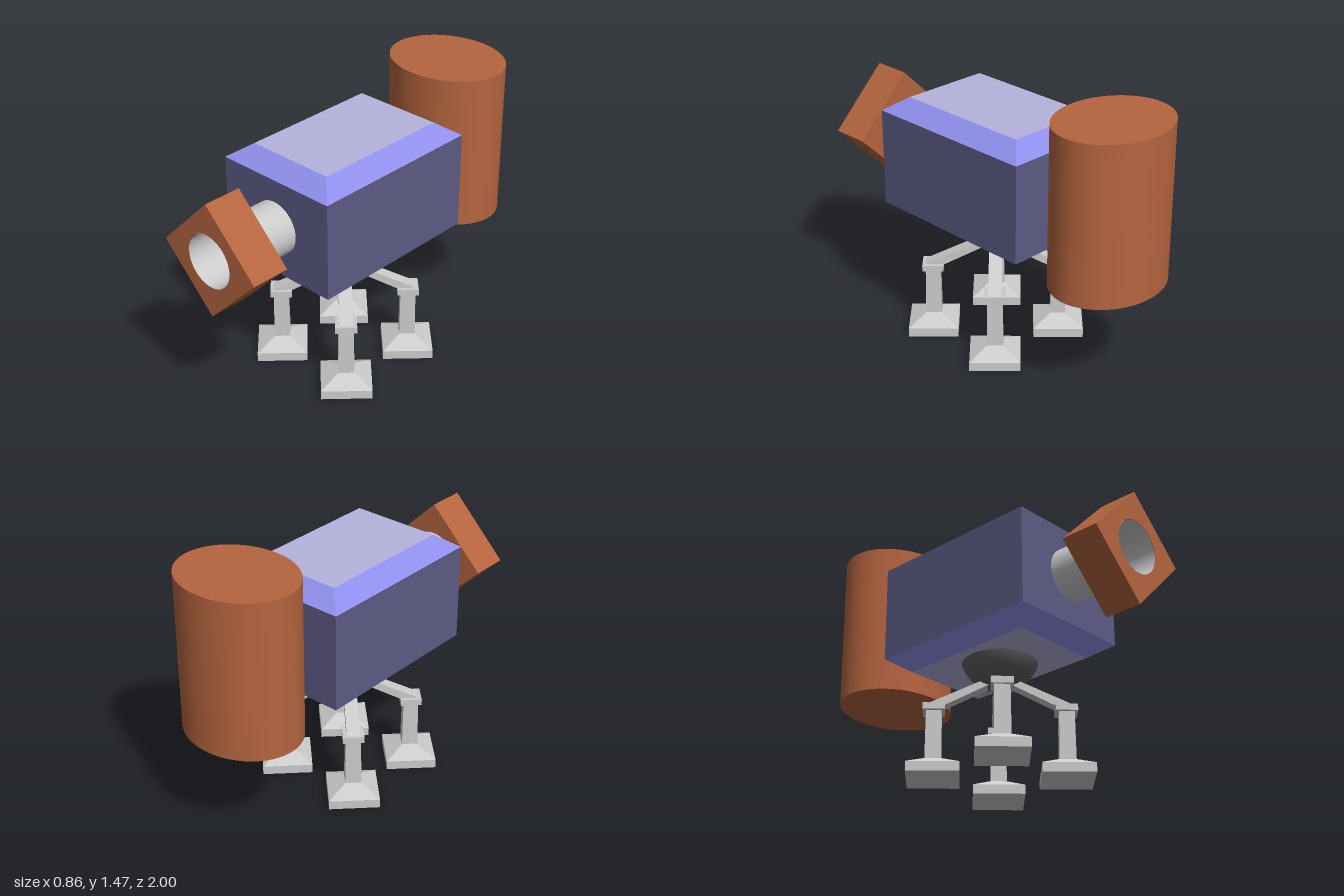
import * as THREE from 'three';

const mat = (color, side = THREE.FrontSide) => new THREE.MeshStandardMaterial({ color, side });

// Hard-edged rectangular solid through levels of [y, half width, half depth], with optional end caps.
function stackedBox(levels, bottomCap = true, topCap = true) {
  const pos = [];
  const ring = ([y, w, d]) => [[-w, y, d], [w, y, d], [w, y, -d], [-w, y, -d]];
  const quad = (a, b, c, d) => pos.push(...a, ...b, ...c, ...a, ...c, ...d);
  for (let i = 0; i < levels.length - 1; i++) {
    const lo = ring(levels[i]), hi = ring(levels[i + 1]);
    for (let k = 0; k < 4; k++) {
      const n = (k + 1) % 4;
      quad(lo[k], lo[n], hi[n], hi[k]);
    }
  }
  if (topCap) quad(...ring(levels[levels.length - 1]));
  if (bottomCap) quad(...ring(levels[0]).reverse());
  const geo = new THREE.BufferGeometry();
  geo.setAttribute('position', new THREE.Float32BufferAttribute(pos, 3));
  geo.computeVertexNormals();
  return geo;
}

export function createModel() {
  const model = new THREE.Group();
  model.name = 'walker';
  const grey = mat(0xcccccc), darkGrey = mat(0x606060), brown = mat(0xb5653f);
  const sideBlue = mat(0x5d5b85), bevelBlue = mat(0x8f8fec), panel = mat(0xb5b2dc);

  const add = (parent, name, geo, material, x = 0, y = 0, z = 0) => {
    const mesh = new THREE.Mesh(geo, material);
    mesh.name = name;
    mesh.position.set(x, y, z);
    parent.add(mesh);
    return mesh;
  };

  // Body: dark walls, bright bevels, pale top and bottom panels
  const bodyZ = 0.065, W = 0.355, D = 0.495, w = 0.25, d = 0.39;
  add(model, 'bodyWalls', stackedBox([[0.71, W, D], [1.24, W, D]], false, false), sideBlue, 0, 0, bodyZ);
  add(model, 'topBevel', stackedBox([[1.24, W, D], [1.315, w, d]], false, false), bevelBlue, 0, 0, bodyZ);
  add(model, 'bottomBevel', stackedBox([[0.637, w, d], [0.71, W, D]], false, false), bevelBlue, 0, 0, bodyZ);
  const panelGeo = new THREE.PlaneGeometry(2 * w, 2 * d);
  add(model, 'topPanel', panelGeo, panel, 0, 1.315, bodyZ).rotation.x = -Math.PI / 2;
  add(model, 'bottomPanel', panelGeo, panel, 0, 0.637, bodyZ).rotation.x = Math.PI / 2;

  // Open barrel with a diamond-shaped muzzle block
  const barrel = new THREE.CylinderGeometry(0.143, 0.143, 0.434, 48, 1, true).rotateX(Math.PI / 2);
  add(model, 'barrel', barrel, mat(0xcccccc, THREE.DoubleSide), 0, 0.98, 0.782);
  const r = 0.315;
  const diamond = new THREE.Shape([[r, 0], [0, r], [-r, 0], [0, -r]].map(p => new THREE.Vector2(...p)));
  diamond.holes.push(new THREE.Path().absarc(0, 0, 0.145, 0, Math.PI * 2, true));
  add(model, 'muzzleBlock',
    new THREE.ExtrudeGeometry(diamond, { depth: 0.21, bevelEnabled: false, curveSegments: 24 }),
    brown, 0, 0.98, 0.79);

  // Oval rear tank and its mounting plate
  const tank = new THREE.CylinderGeometry(1, 1, 0.86, 64).scale(0.332, 1, 0.275);
  add(model, 'rearTank', tank, brown, 0, 1.038, -0.725);
  add(model, 'tankMount', new THREE.BoxGeometry(0.257, 0.412, 0.07), darkGrey, 0, 0.977, -0.465);

  // Hip dome under the body
  const hipZ = 0.075;
  const dome = new THREE.SphereGeometry(0.21, 48, 16, 0, Math.PI * 2, Math.PI / 2, Math.PI / 2);
  add(model, 'hipDome', dome, darkGrey, 0, 0.705, hipZ);

  // Four legs radiating diagonally: foot and column, collar, slanted strut
  const reach = 0.34;
  const footGeo = stackedBox([
    [0, 0.135, 0.135], [0.05, 0.135, 0.135], [0.1, 0.043, 0.043], [0.365, 0.04, 0.04],
  ], true, false);
  const collarGeo = stackedBox([[0.362, 0.057, 0.057], [0.397, 0.057, 0.057]]);
  const strutShape = new THREE.Shape(
    [[0.385, 0.395], [0.075, 0.54], [0.055, 0.51], [0.28, 0.395]].map(p => new THREE.Vector2(...p)));
  const strutGeo = new THREE.ExtrudeGeometry(strutShape, { depth: 0.07, bevelEnabled: false })
    .translate(0, 0, -0.035);
  ['backLeftLeg', 'backRightLeg', 'frontRightLeg', 'frontLeftLeg'].forEach((name, i) => {
    const leg = new THREE.Group();
    leg.name = name;
    leg.position.z = hipZ;
    leg.rotation.y = Math.PI / 4 + i * Math.PI / 2;
    add(leg, 'footAndColumn', footGeo, grey, reach);
    add(leg, 'collar', collarGeo, grey, reach);
    add(leg, 'strut', strutGeo, grey);
    model.add(leg);
  });
  return model;
}
